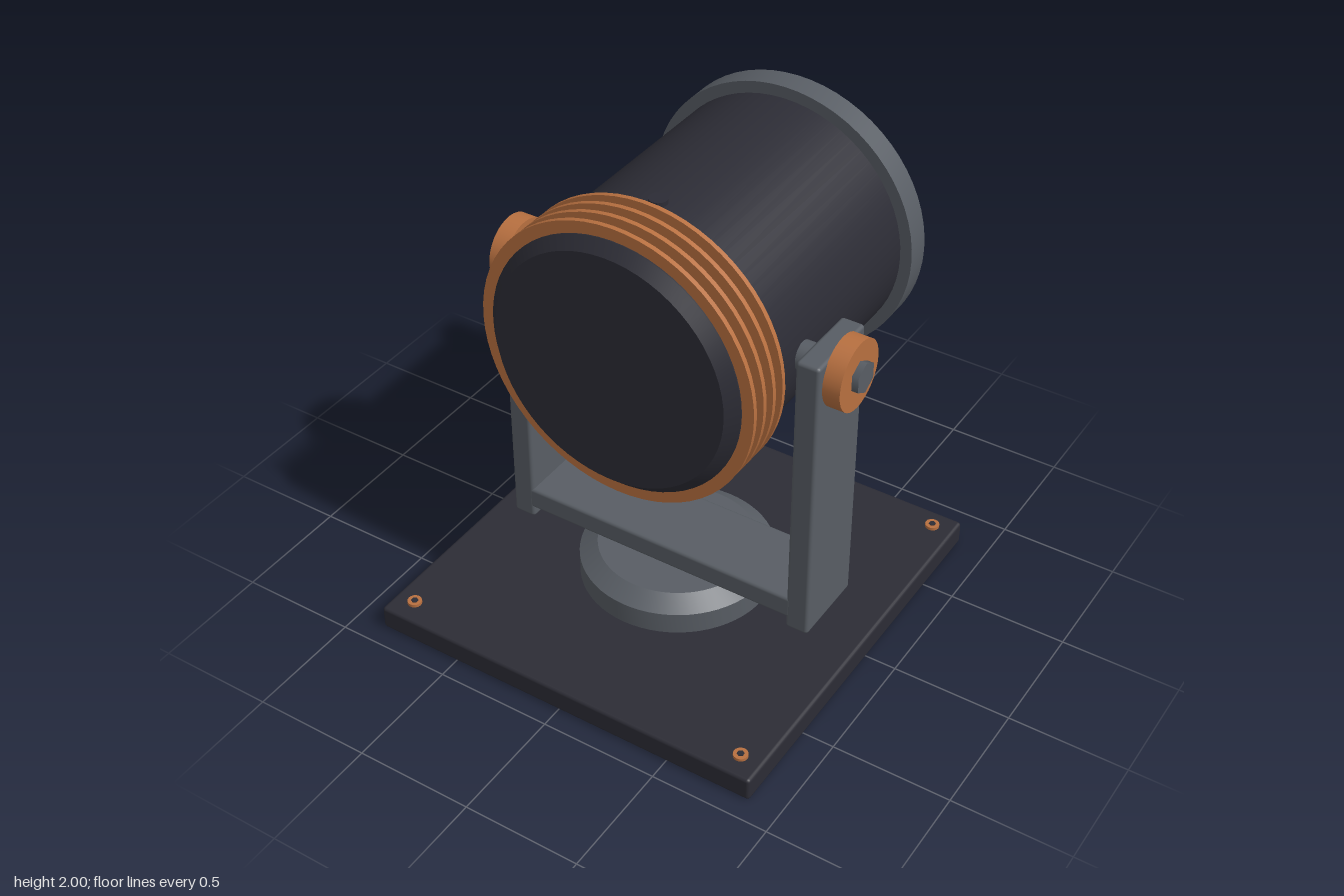
import * as THREE from 'three';
import { toCreasedNormals } from 'three/addons/utils/BufferGeometryUtils.js';
import { RoundedBoxGeometry } from 'three/addons/geometries/RoundedBoxGeometry.js';

const paint = (name, color) => {
  const m = new THREE.MeshStandardMaterial({ color });
  m.name = name;
  return m;
};

export function createModel() {
  const dark = paint('charcoal', 0x2c2c35);
  const grey = paint('steel grey', 0x585d64);
  const copper = paint('copper', 0xb87040);
  const glass = paint('lens cream', 0xd0cec0);
  const slate = paint('grille slate', 0x34363e);

  const model = new THREE.Group();
  model.name = 'spotlight';
  const CZ = 0.04, CY = 1.4; // centre of the stand in z, height of the lamp axis

  const add = (name, geometry, material, x, y, z, parent = model) => {
    const mesh = new THREE.Mesh(geometry, material);
    mesh.name = name;
    mesh.position.set(x, y, z);
    parent.add(mesh);
    return mesh;
  };
  const box = (w, h, d, r = 0.015) => new RoundedBoxGeometry(w, h, d, 2, r);
  const disc = (r, h, sides = 24) => new THREE.CylinderGeometry(r, r, h, sides);
  // Profile of [radius, height] pairs from low to high, sharp at its corners
  const lathe = (pts, segments = 64) => toCreasedNormals(
    new THREE.LatheGeometry(pts.map(([r, h]) => new THREE.Vector2(r, h)), segments), 0.5);

  // Base plate with a screw in each corner
  add('basePlate', box(1.74, 0.105, 1.74), dark, 0, 0.0525, CZ);
  for (const x of [-0.775, 0.775]) for (const z of [-0.74, 0.815]) {
    add('baseScrew', disc(0.03, 0.02, 16), copper, x, 0.108, z);
    add('baseScrewSocket', disc(0.015, 0.004, 6), dark, x, 0.118, z);
  }

  // Turntable
  add('turntable', lathe([[0, 0.1], [0.405, 0.1], [0.405, 0.2], [0.33, 0.25], [0, 0.25]]),
    grey, 0, 0, 0.045);

  // Yoke with arms, pivots, knobs and hexagonal bolts
  const yoke = new THREE.Group();
  yoke.name = 'yoke';
  model.add(yoke);
  add('yokeCrossbar', box(1.26, 0.1, 0.34), grey, 0, 0.3, CZ, yoke);
  for (const s of [-1, 1]) {
    add('yokeArm', box(0.1, 1.3, 0.34), grey, s * 0.658, 0.85, CZ, yoke);
    add('pivot', disc(0.06, 0.1).rotateZ(Math.PI / 2), grey, s * 0.58, CY, CZ, yoke);
    add('knob', disc(0.145, 0.075, 32).rotateZ(Math.PI / 2), copper, s * 0.743, CY, CZ, yoke);
    add('knobBolt', disc(0.066, 0.05, 6).rotateY(Math.PI / 2).rotateZ(Math.PI / 2),
      grey, s * 0.783, CY, CZ, yoke).rotation.x = Math.PI / 2;
  }
  // Turn the bolts so that a corner points up
  yoke.traverse((o) => {
    if (o.name !== 'knobBolt') return;
    const p = o.geometry.attributes.position;
    let top = 0;
    for (let i = 0; i < p.count; i++) top = Math.max(top, Math.abs(p.getZ(i)));
    if (top < 0.06) o.rotation.x = 0;
  });

  // Lamp, built along z around its own axis
  const lamp = new THREE.Group();
  lamp.name = 'lamp';
  lamp.position.y = CY;
  model.add(lamp);
  const turned = (name, pts, material) =>
    add(name, lathe(pts).rotateX(Math.PI / 2), material, 0, 0, 0, lamp);

  turned('housing', [[0, -0.76], [0.545, -0.76], [0.545, 0.475], [0.5, 0.52], [0, 0.52]], dark);
  for (const z of [0.263, 0.329, 0.394, 0.46]) {
    turned('coolingFin', [[0.53, z - 0.01], [0.595, z - 0.01], [0.595, z + 0.01], [0.53, z + 0.01]], copper);
  }
  add('housingButton', disc(0.037, 0.03), dark, 0, 0.547, 0.17, lamp);

  // Rim and bulging lens
  turned('lensRim', [[0.45, -0.8], [0.47, -0.826], [0.545, -0.826], [0.553, -0.835], [0.582, -0.835],
    [0.595, -0.822], [0.595, -0.715], [0.53, -0.715]], grey);
  const lensProfile = [];
  for (let i = 0; i <= 10; i++) {
    const r = 0.47 * i / 10;
    lensProfile.push([r, -0.863 + 0.041 * (i / 10) ** 2]);
  }
  turned('lens', lensProfile, glass);
  for (const x of [-0.378, 0.378]) for (const y of [-0.378, 0.378]) {
    add('rimScrew', disc(0.022, 0.024, 12).rotateX(Math.PI / 2), copper, x, y, -0.834, lamp);
  }

  // Guard bars in front of the lens
  add('guardUpright', box(0.036, 1.01, 0.03, 0.01), slate, 0, 0, -0.898, lamp);
  for (const y of [-0.17, 0.17]) {
    add('guardCrossbar', box(0.955, 0.036, 0.03, 0.01), slate, 0, y, -0.898, lamp);
  }

  // Cable inlet at the back of the base
  const inlet = new THREE.Group();
  inlet.name = 'cableInlet';
  inlet.position.set(-0.525, 0, 0);
  model.add(inlet);
  add('inletPlate', new THREE.BoxGeometry(0.225, 0.016, 0.14), grey, 0, 0.142, -0.57, inlet);
  add('inletSocket', disc(0.038, 0.016).rotateX(Math.PI / 2), grey, 0, 0.217, -0.64, inlet);
  add('inletRing', new THREE.TorusGeometry(0.03, 0.008, 8, 24), dark, 0, 0.217, -0.648, inlet);
  for (const x of [-0.078, 0.078]) for (const y of [0.15, 0.278]) {
    add('inletScrew', disc(0.011, 0.008, 10).rotateX(Math.PI / 2), copper, x, y, -0.643, inlet);
  }
  return model;
}
